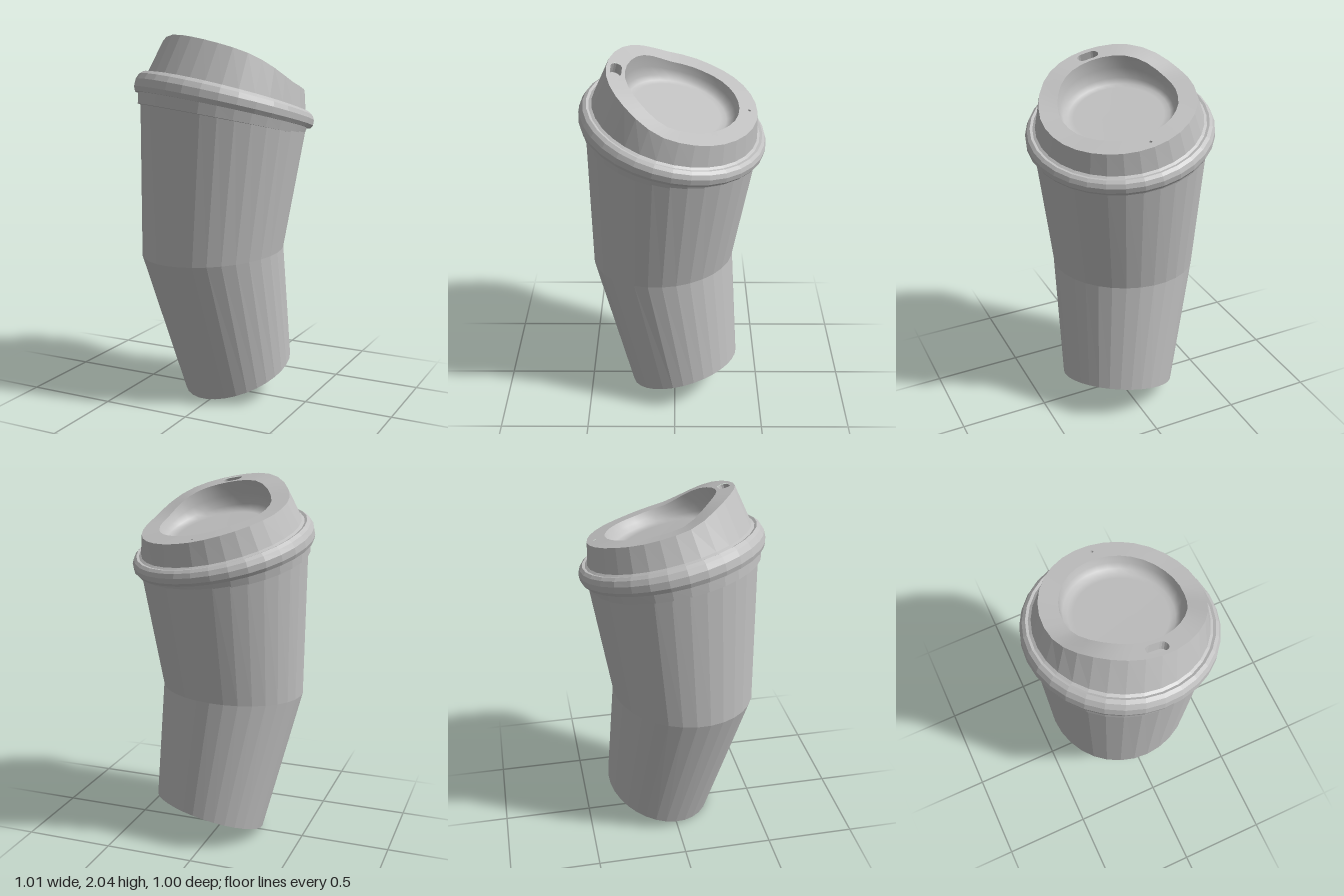
import * as THREE from 'three';
import { mergeGeometries, mergeVertices } from 'three/addons/utils/BufferGeometryUtils.js';

const SIDES = 32;
const LID_BASE = 1.64, LID_TOP = 1.765;   // heights measured along the unbent cup

// Applies a rule to each vertex in place
function warp(geo, rule) {
  const p = geo.attributes.position, v = new THREE.Vector3();
  for (let i = 0; i < p.count; i++) {
    v.fromBufferAttribute(p, i);
    rule(v);
    p.setXYZ(i, v.x, v.y, v.z);
  }
  return geo;
}

// Raises the lid towards the drinking side (+z), fading out down to the given base height
function lift(geo, base) {
  return warp(geo, v => {
    const c = v.z / (Math.hypot(v.x, v.z) || 1);
    const bump = 0.06 * THREE.MathUtils.smoothstep(c, 0.1, 0.95)
      + 0.012 * THREE.MathUtils.smoothstep(-c, 0.3, 1);
    v.y += bump * THREE.MathUtils.clamp((v.y - base) / (LID_TOP - base), 0, 1);
  });
}

// Bends the upright cup along a circular arc, leaning in direction (DX, DZ)
const DX = -0.6, DZ = 0.8, LEAN = 0.363, RATE = 0.387;
function bend(geo) {
  return warp(geo, v => {
    const a = LEAN - RATE * v.y;
    const u = v.x * DX + v.z * DZ, w = v.x * DZ - v.z * DX;
    const along = -0.075 + (Math.cos(a) - Math.cos(LEAN)) / RATE + u * Math.cos(a);
    const up = 0.115 + (Math.sin(LEAN) - Math.sin(a)) / RATE - u * Math.sin(a);
    v.set(along * DX + w * DZ, up, along * DZ - w * DX);
  });
}

function lathe(profile) {
  return new THREE.LatheGeometry(profile.map(([r, y]) => new THREE.Vector2(r, y)), SIDES);
}

// Rounded slot outline, centred at (0, cy)
function slotPoints(halfWidth, radius, cy) {
  const pts = [];
  for (const side of [1, -1]) {
    for (let i = 0; i <= 8; i++) {
      const a = -Math.PI / 2 + Math.PI * i / 8;
      pts.push(new THREE.Vector2(
        side * (halfWidth - radius + radius * Math.cos(a)), cy + side * radius * Math.sin(a)));
    }
  }
  return pts;
}

// Part of the flat lid ring between two side numbers, with an optional hole
function ringSector(from, to, rIn, rOut, hole) {
  const pts = [];
  const add = (r, i) => {
    const a = i * Math.PI * 2 / SIDES;
    pts.push(new THREE.Vector2(r * Math.sin(a), -r * Math.cos(a)));
  };
  for (let i = from; i <= to; i++) add(rOut, i);
  for (let i = to; i >= from; i--) add(rIn, i);
  const shape = new THREE.Shape(pts);
  if (hole) shape.holes.push(new THREE.Path(hole));
  return new THREE.ShapeGeometry(shape);
}

export function createModel() {
  const group = new THREE.Group();
  const grey = new THREE.MeshStandardMaterial({ color: 0xc0c0c0 });
  grey.name = 'plain grey';

  function addPart(name, geo, flat) {
    bend(geo);
    geo.deleteAttribute('uv');
    geo.deleteAttribute('normal');
    const g = flat ? (geo.index ? geo.toNonIndexed() : geo) : mergeVertices(geo, 1e-4);
    g.computeVertexNormals();
    const mesh = new THREE.Mesh(g, grey);
    mesh.name = name;
    group.add(mesh);
  }

  // Cup with recessed base; a single middle ring gives the sharp bend
  addPart('cup', lathe([
    [0, 0.06], [0.298, 0.06], [0.303, 0], [0.322, 0], [0.4, 0.75], [0.472, 1.56],
  ]), true);

  // Lid skirt and rolled bead
  addPart('lidSkirt', lathe([[0.46, 1.483], [0.469, 1.485], [0.478, 1.54]]), true);
  addPart('lidBead', lathe([
    [0.474, 1.538], [0.496, 1.538], [0.507, 1.56], [0.507, 1.595],
    [0.495, 1.622], [0.478, 1.636], [0.464, 1.632], [0.45, 1.64],
  ]), true);

  // Sloping lid wall, higher at the drinking side
  addPart('lidWall', lift(lathe([[0.45, LID_BASE], [0.415, LID_TOP]]), LID_BASE), true);

  // Lid top ring with drinking slot and vent
  const slot = slotPoints(0.06, 0.03, -0.362);
  const vent = slotPoints(0.009, 0.009, 0.37);
  const sectors = [
    ringSector(-2, 2, 0.315, 0.415, slot),
    ringSector(15, 17, 0.315, 0.415, vent),
  ];
  for (let i = 2; i < 15; i++) {
    sectors.push(ringSector(i, i + 1, 0.315, 0.415), ringSector(-i - 1, -i, 0.315, 0.415));
  }
  const ring = mergeGeometries(sectors).rotateX(-Math.PI / 2).translate(0, LID_TOP, 0);
  addPart('lidTop', lift(ring, LID_BASE), false);

  // Round recess in the lid
  addPart('lidRecess', lift(lathe([
    [0.315, LID_TOP], [0.307, 1.725], [0.293, 1.695], [0.27, 1.682], [0.24, 1.68], [0, 1.68],
  ]), 1.68), false);

  // Walls and floors inside the two openings
  const openings = [
    ['drinkingSlot', slot, slotPoints(0.064, 0.034, -0.362)],
    ['ventHole', vent, slotPoints(0.013, 0.013, 0.37)],
  ];
  for (const [name, inner, outer] of openings) {
    const shape = new THREE.Shape(outer);
    shape.holes.push(new THREE.Path(inner));
    const wall = new THREE.ExtrudeGeometry(shape, { depth: 0.05, bevelEnabled: false, steps: 1 });
    wall.rotateX(-Math.PI / 2).translate(0, LID_TOP - 0.053, 0);
    addPart(name + 'Wall', lift(wall, -100), true);
    const floor = new THREE.ShapeGeometry(new THREE.Shape(outer));
    floor.rotateX(-Math.PI / 2).translate(0, LID_TOP - 0.052, 0);
    addPart(name + 'Floor', lift(floor, -100), true);
  }

  return group;
}
